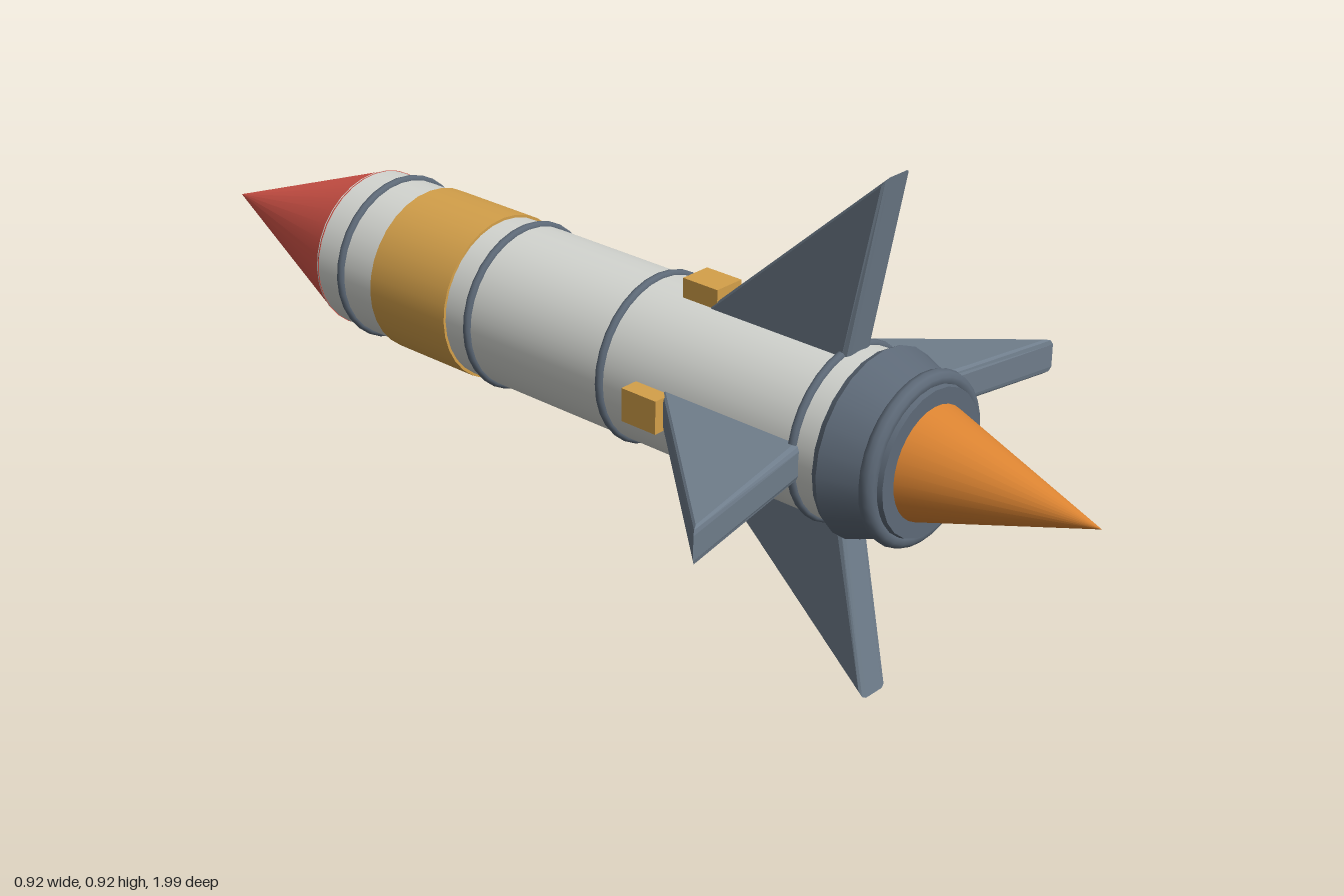
import * as THREE from 'three';

const paint = (name, color) => {
  const m = new THREE.MeshStandardMaterial({ color });
  m.name = name;
  return m;
};

export function createModel() {
  const white = paint('hull white', 0xd4d6d1);
  const red = paint('nose red', 0xd9564a);
  const gold = paint('gold', 0xd4a04a);
  const slate = paint('fin slate', 0x6f7d8b);
  const dark = paint('ring slate', 0x5d6977);
  const orange = paint('flame orange', 0xdc8432);

  const model = new THREE.Group();
  model.name = 'rocket';
  // Built along +y (tail up), then laid down so the tail faces +z
  const rocket = new THREE.Group();
  rocket.name = 'rocketBody';
  rocket.rotation.x = Math.PI / 2;
  rocket.position.y = 0.463;
  model.add(rocket);

  const add = (name, geometry, material, parent = rocket) => {
    const mesh = new THREE.Mesh(geometry, material);
    mesh.name = name;
    parent.add(mesh);
    return mesh;
  };
  // Tapered round section between two stations along the length
  const section = (name, z0, r0, z1, r1, material, sides = 32) => {
    const mesh = add(name, new THREE.CylinderGeometry(r1, r0, z1 - z0, sides), material);
    mesh.position.y = (z0 + z1) / 2;
    return mesh;
  };
  const ring = (name, z, radius, tube) => {
    const mesh = add(name, new THREE.TorusGeometry(radius, tube, 10, 32), dark);
    mesh.rotation.x = Math.PI / 2;
    mesh.position.y = z;
  };

  // Hull, nose and painted band
  section('hull', -0.61, 0.147, 0.58, 0.147, white);
  section('noseCone', -1, 0, -0.605, 0.148, red);
  section('goldBand', -0.46, 0.152, -0.27, 0.152, gold);
  for (const z of [-0.543, -0.215, 0.1, 0.513]) ring('hullRing', z, 0.147, 0.008);

  // Engine skirt, lip and exhaust flame
  section('engineSkirt', 0.562, 0.156, 0.575, 0.163, dark, 24);
  section('engineBell', 0.575, 0.163, 0.655, 0.133, dark, 24);
  ring('engineLip', 0.655, 0.134, 0.015);
  section('engineEnd', 0.65, 0.133, 0.677, 0.126, dark, 24);
  section('flame', 0.67, 0.1, 0.993, 0, orange);

  // Four swept fins with bevelled edges and root brackets
  const outline = new THREE.Shape([
    new THREE.Vector2(0.1, 0.188),
    new THREE.Vector2(0.461, 0.586),
    new THREE.Vector2(0.1, 0.518),
  ]);
  const finGeometry = new THREE.ExtrudeGeometry(outline, {
    depth: 0.042, bevelEnabled: true, bevelThickness: 0.011,
    bevelSize: 0.011, bevelOffset: -0.011, bevelSegments: 2,
  });
  finGeometry.translate(0, 0, -0.021);
  const bracketGeometry = new THREE.BoxGeometry(0.06, 0.075, 0.06);
  for (let i = 0; i < 4; i++) {
    const arm = new THREE.Group();
    arm.name = 'finAssembly';
    arm.rotation.y = i * Math.PI / 2;
    rocket.add(arm);
    add('fin', finGeometry, slate, arm);
    add('finBracket', bracketGeometry, gold, arm).position.set(0.149, 0.217, 0);
  }
  return model;
}
